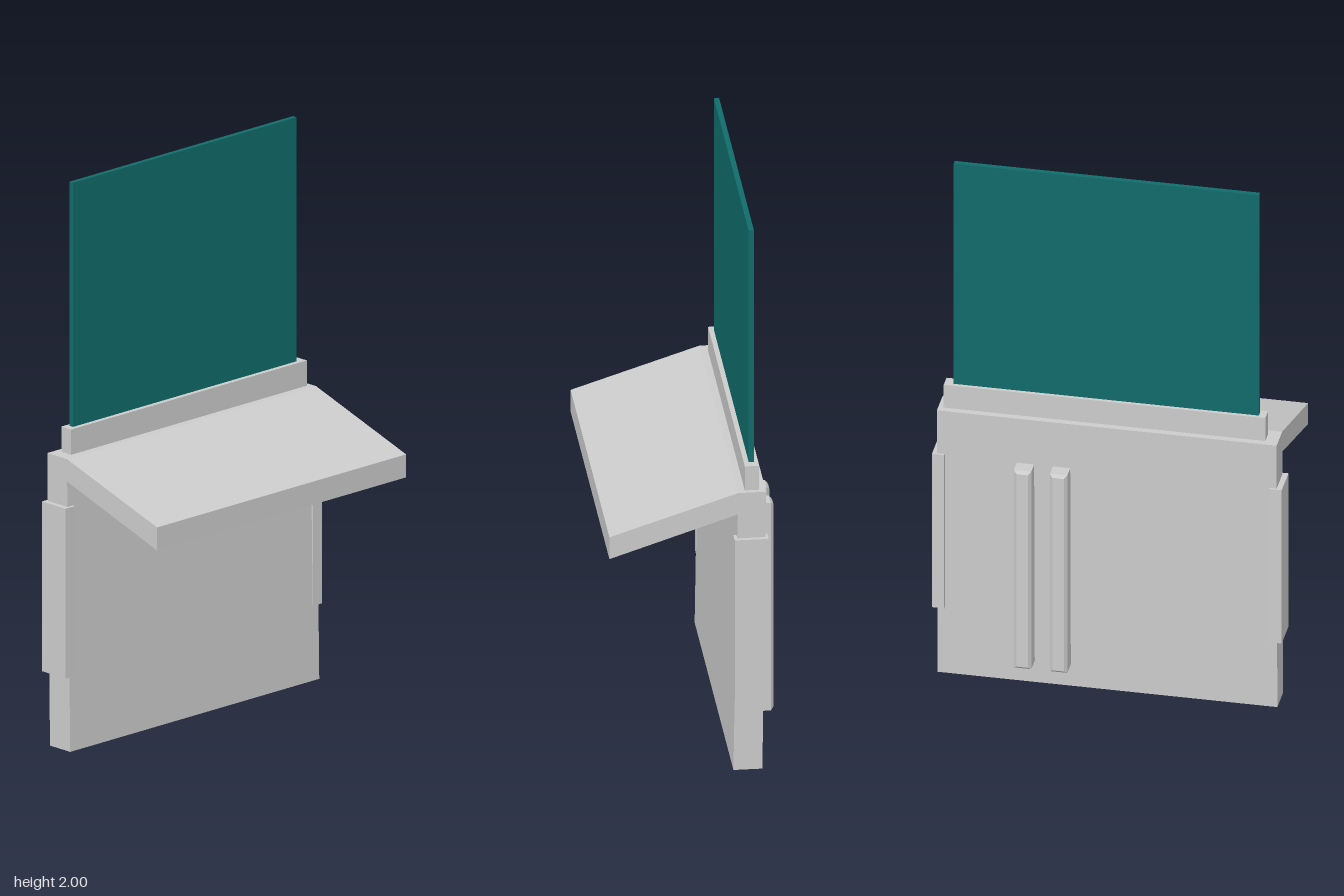
import * as THREE from 'three';

const grey = new THREE.MeshStandardMaterial({ color: 0xcccccc, flatShading: true });
const teal = new THREE.MeshStandardMaterial({ color: 0x116b6b, flatShading: true });

export function createModel() {
  const model = new THREE.Group();
  model.name = 'panelHolder';

  function add(name, geometry, material = grey) {
    const mesh = new THREE.Mesh(geometry, material);
    mesh.name = name;
    model.add(mesh);
    return mesh;
  }

  // Box given by its limits on each axis
  function box(name, [x0, x1], [y0, y1], [z0, z1], material) {
    const mesh = add(name, new THREE.BoxGeometry(x1 - x0, y1 - y0, z1 - z0), material);
    mesh.position.set((x0 + x1) / 2, (y0 + y1) / 2, (z0 + z1) / 2);
  }

  // Slightly leaning back board and sloping front flap as one side profile (z, y)
  const profile = new THREE.Shape([
    [-0.131, 0], [-0.146, 0.96], [0.293, 0.815], [0.293, 0.897],
    [-0.147, 1.04], [-0.243, 1.04], [-0.23, 0],
  ].map(([z, y]) => new THREE.Vector2(-z, y)));
  const width = 1.178;
  const board = new THREE.ExtrudeGeometry(profile, { depth: width, bevelEnabled: false });
  board.translate(0, 0, -width / 2);
  board.rotateY(Math.PI / 2);
  add('boardWithFlap', board);

  // Collar and the thin upright panel it holds
  box('collar', [-0.545, 0.57], [1.0, 1.13], [-0.22, -0.172]);
  box('upperPanel', [-0.52, 0.538], [1.1, 2], [-0.207, -0.189], teal);

  // Clips around the side edges
  box('rightClip', [-0.608, -0.565], [0.265, 0.87], [-0.25, -0.134]);
  box('leftClip', [0.562, 0.605], [0.265, 0.87], [-0.25, -0.134]);

  // Two bevelled bars on the back
  const bevel = 0.01;
  for (const [name, x] of [['innerBackBar', 0.157], ['outerBackBar', 0.282]]) {
    const w = 0.03 - bevel, y0 = 0.085 + bevel, y1 = 0.865 - bevel;
    const outline = new THREE.Shape([
      new THREE.Vector2(-w, y0), new THREE.Vector2(w, y0),
      new THREE.Vector2(w, y1), new THREE.Vector2(-w, y1),
    ]);
    const bar = add(name, new THREE.ExtrudeGeometry(outline, {
      depth: 0.08, bevelThickness: bevel, bevelSize: bevel, bevelSegments: 1,
    }));
    bar.position.set(x, 0, -0.29);
  }

  // Small turn of the whole assembly
  model.rotation.y = 0.01;
  const root = new THREE.Group();
  root.add(model);
  return root;
}
